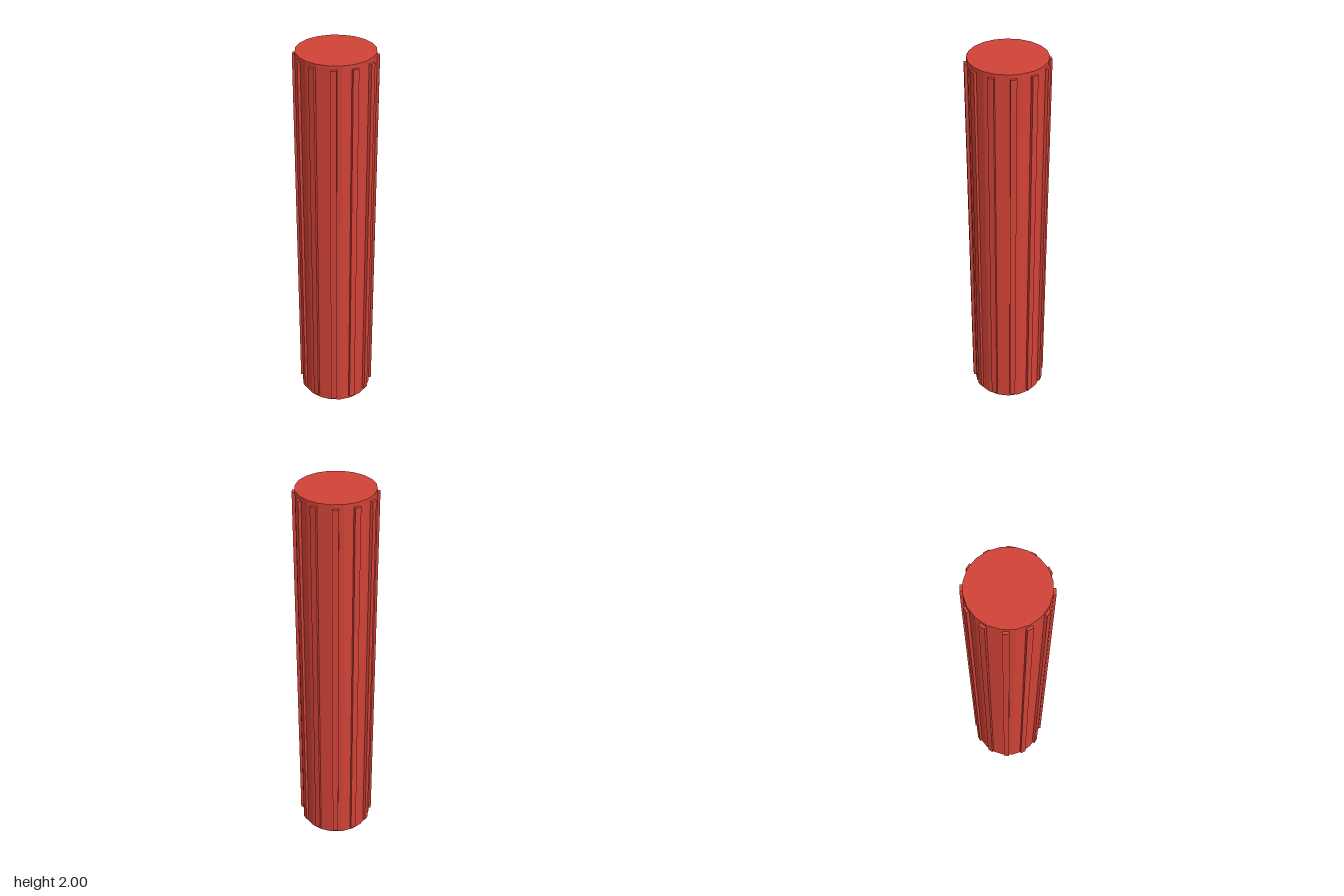
import * as THREE from 'three';

export function createModel() {
  const model = new THREE.Group();
  model.name = 'ribbedColumn';

  const red = new THREE.MeshStandardMaterial({ color: 0xd04236 });
  red.name = 'red';

  // Faceted core
  const coreGeometry = new THREE.CylinderGeometry(0.19, 0.19, 2, 20).toNonIndexed();
  coreGeometry.computeVertexNormals();
  const core = new THREE.Mesh(coreGeometry, red);
  core.name = 'core';
  core.position.y = 1;
  model.add(core);

  // Twelve upright ribs, stopping just short of both ends
  const ribs = new THREE.Group();
  ribs.name = 'ribs';
  const ribGeometry = new THREE.BoxGeometry(0.03, 1.96, 0.025);
  const ribCount = 12;
  for (let i = 0; i < ribCount; i++) {
    const angle = (i / ribCount) * Math.PI * 2;
    const rib = new THREE.Mesh(ribGeometry, red);
    rib.name = 'rib';
    rib.position.set(Math.sin(angle) * 0.189, 1, Math.cos(angle) * 0.189);
    rib.rotation.y = angle;
    ribs.add(rib);
  }
  model.add(ribs);

  return model;
}
